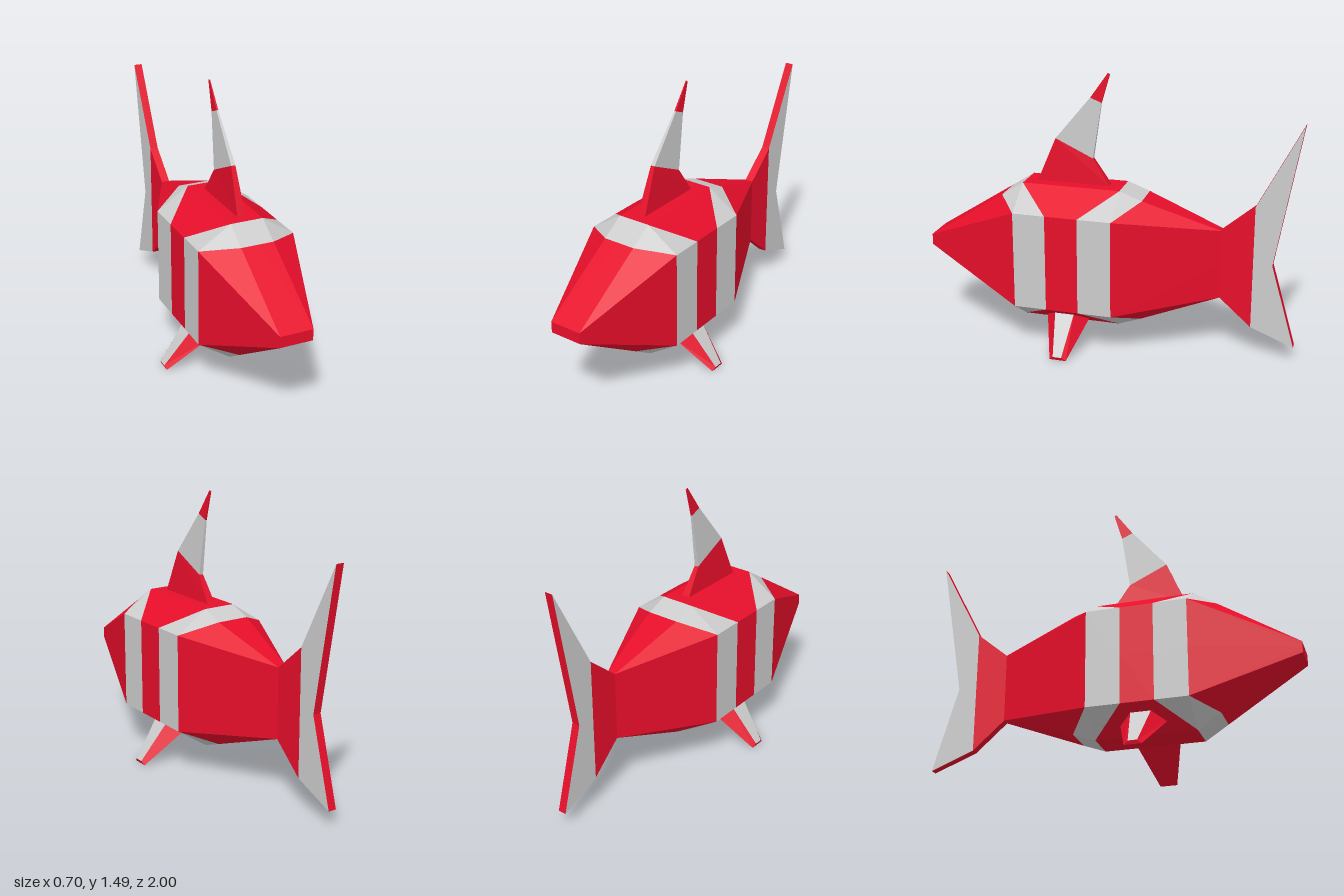
import * as THREE from 'three';

const RED = new THREE.MeshStandardMaterial({ color: 0xe60e2a, flatShading: true });
const GREY = new THREE.MeshStandardMaterial({ color: 0xcccccc, flatShading: true });
const MID_X = 0.0075, MID_Y = 0.5125, HALF = 0.0225;

// Mesh from convex polygons, each turned to face away from a centre point
function facets(name, polys, material, center) {
  const c = new THREE.Vector3(...center), out = [];
  for (const poly of polys) {
    const p = poly.map(q => new THREE.Vector3(...q));
    for (let i = 1; i < p.length - 1; i++) {
      const tri = [p[0], p[i], p[i + 1]];
      const n = tri[1].clone().sub(tri[0]).cross(tri[2].clone().sub(tri[0]));
      const mid = tri[0].clone().add(tri[1]).add(tri[2]).divideScalar(3);
      if (n.dot(mid.sub(c)) < 0) tri.reverse();
      tri.forEach(v => out.push(v.x, v.y, v.z));
    }
  }
  const geo = new THREE.BufferGeometry();
  geo.setAttribute('position', new THREE.Float32BufferAttribute(out, 3));
  geo.computeVertexNormals();
  const mesh = new THREE.Mesh(geo, material);
  mesh.name = name;
  return mesh;
}

// Quarter polygons mirrored across the width and the height
const mirror4 = polys => [[1, 1], [-1, 1], [1, -1], [-1, -1]].flatMap(
  ([sx, sy]) => polys.map(p => p.map(([x, y, z]) => [x * sx, y * sy, z])));

// Four sides joining two rings of four corners
const sides = (a, b) => a.map((p, i) => [p, a[(i + 1) % 4], b[(i + 1) % 4], b[i]]);
const average = pts => [0, 1, 2].map(k => pts.reduce((s, p) => s + p[k], 0) / pts.length);

function makeBody() {
  const body = new THREE.Group();
  body.name = 'body';
  body.position.set(MID_X, MID_Y, 0);
  const onTop = ([, y, z]) => [0, y, z];
  const onSide = ([x, , z]) => [x, 0, z];
  const stripe = (edge, corner, inner, outer) => [
    [onTop(edge), edge, outer, onTop(outer)],
    [edge, outer, corner], [edge, corner, inner],
    [corner, onSide(corner), onSide(inner), inner]];

  // Front stripe corners, nose, rear stripe corners, tail root
  const A = [0.088, 0.3775, 0.46], B = [0.262, 0.2625, 0.46], C = [0.262, 0.2625, 0.285];
  const P = [0.088, 0.3, 0.58], N = [0.088, 0.03, 1];
  const A2 = [0.088, 0.3775, -0.07], B2 = [0.262, 0.2625, -0.07], C2 = [0.262, 0.2625, 0.11];
  const P2 = [0.088, 0.333, -0.19], T = [HALF, 0.1875, -0.6];

  const parts = {
    nose: [RED, [[onTop(P), P, N, onTop(N)], [P, B, N], [B, onSide(B), onSide(N), N],
      [N, onTop(N), [0, 0, 1], onSide(N)]]],
    frontStripe: [GREY, stripe(A, B, C, P)],
    midBody: [RED, [[onTop(A), A, A2, onTop(A2)], [A, C, C2, A2], [C, onSide(C), onSide(C2), C2]]],
    rearStripe: [GREY, stripe(A2, B2, C2, P2)],
    rearBody: [RED, [[onTop(P2), P2, T, onTop(T)], [P2, B2, T], [B2, onSide(B2), onSide(T), T]]],
  };
  for (const [name, [mat, polys]] of Object.entries(parts))
    body.add(facets(name, mirror4(polys), mat, [0, 0, 0.2]));
  return body;
}

// Flat slab from a side outline of [z, y] points
function slab(name, outline, faceMaterial) {
  const shape = new THREE.Shape(outline.map(p => new THREE.Vector2(...p)));
  const geo = new THREE.ExtrudeGeometry(shape, { depth: HALF * 2, bevelEnabled: false });
  geo.rotateY(-Math.PI / 2).translate(MID_X + HALF, 0, 0);
  const mesh = new THREE.Mesh(geo, [faceMaterial, RED]);
  mesh.name = name;
  return mesh;
}

// Swept-back top fin: tapered sections [front z, front y, back z, back y, half width]
function makeDorsalFin() {
  const fin = new THREE.Group();
  fin.name = 'dorsalFin';
  const rings = [
    [0.4, 0.885, 0, 0.885, HALF], [0.3, 1.125, 0.095, 1.03, 0.0115],
    [0.11, 1.355, 0.05, 1.33, 0.005], [0.017, 1.488, 0.005, 1.483, 0.002],
  ].map(([fz, fy, bz, by, w]) => [[MID_X + w, fy, fz], [MID_X - w, fy, fz],
    [MID_X - w, by, bz], [MID_X + w, by, bz]]);
  ['dorsalBase', 'dorsalBand', 'dorsalTip'].forEach((name, i) => {
    const polys = sides(rings[i], rings[i + 1]);
    if (i === 2) polys.push(rings[3]);
    fin.add(facets(name, polys, i === 1 ? GREY : RED, average([...rings[i], ...rings[i + 1]])));
  });
  return fin;
}

// Lower side fin with a narrow grey upper face and bevelled red edges
function makeSideFin(s) {
  const fin = new THREE.Group();
  fin.name = s > 0 ? 'leftFin' : 'rightFin';
  const root = [[s * 0.205, 0.215, 0.255], [s * 0.205, 0.215, 0.15],
    [s * 0.14, 0.175, 0.08], [s * 0.14, 0.175, 0.32]];
  const tip = [[s * 0.35, 0.018, 0.225], [s * 0.35, 0.018, 0.178],
    [s * 0.343, 0, 0.155], [s * 0.343, 0, 0.245]];
  const [upper, ...others] = sides(root, tip);
  const c = average([...root, ...tip]);
  fin.add(facets('finUpperFace', [upper], GREY, c), facets('finEdges', [...others, tip], RED, c));
  return fin;
}

export function createModel() {
  const model = new THREE.Group();
  model.name = 'fish';
  model.add(
    makeBody(),
    slab('tailRoot', [[-0.6, 0.7], [-0.77, 0.845], [-0.77, 0.175], [-0.6, 0.325]], RED),
    slab('tailFin', [[-0.77, 0.845], [-1, 1.29], [-0.87, 0.535], [-1, 0.085], [-0.77, 0.175]], GREY),
    makeDorsalFin(),
    makeSideFin(1),
    makeSideFin(-1),
  );
  return model;
}
